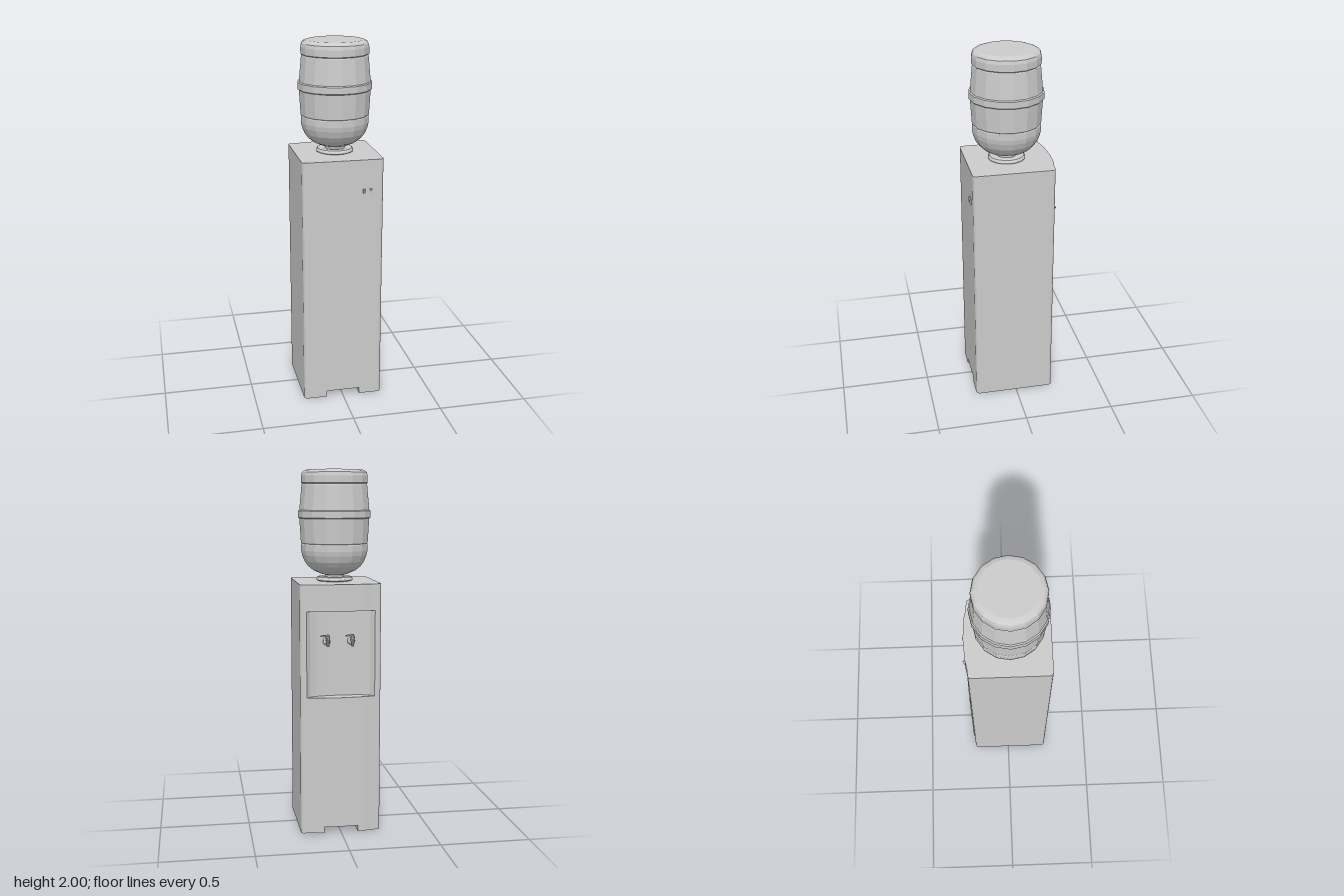
import * as THREE from 'three';

const material = new THREE.MeshStandardMaterial({ color: 0xcccccc, flatShading: true, side: THREE.DoubleSide });

function add(parent, name, geometry, x = 0, y = 0, z = 0) {
  const mesh = new THREE.Mesh(geometry, material);
  mesh.name = name;
  mesh.position.set(x, y, z);
  parent.add(mesh);
  return mesh;
}

// Half outlines seen from above as [x, -z], running from the rounded +z corner to the middle of the tap side
const corner = [[0.203, -0.235], [0.213, -0.232], [0.22, -0.225], [0.223, -0.215],
  [0.223, 0.197], [0.22, 0.206], [0.213, 0.212], [0.203, 0.214]];
const bulge = [[0.18, 0.215], [0.15, 0.22], [0.12, 0.227], [0.06, 0.231]];
const hollow = [[0.188, 0.2145], [0.165, 0.192], [0.13, 0.179], [0.07, 0.169]];

const mirrored = (half) => [...half, ...half.map(([x, b]) => [-x, b]).reverse()];

// Upright slab with the given outline between two heights
function slab(points, y0, y1) {
  const shape = new THREE.Shape(points.map(([x, b]) => new THREE.Vector2(x, b)));
  const geometry = new THREE.ExtrudeGeometry(shape, { depth: y1 - y0, bevelEnabled: false });
  return geometry.rotateX(-Math.PI / 2).translate(0, y0, 0);
}

function createCabinet() {
  const cabinet = new THREE.Group();
  cabinet.name = 'cabinet';
  const full = mirrored([...corner, ...bulge, [0, 0.235]]);
  const recessed = mirrored([...corner, ...hollow, [0, 0.166]]);
  add(cabinet, 'lowerCabinet', slab(full, 0.035, 0.772));
  add(cabinet, 'tapRecess', slab(recessed, 0.772, 1.245));
  add(cabinet, 'upperCabinet', slab(full, 1.245, 1.39));

  // Two runners leave a channel under the cabinet
  const runner = [[0.095, -0.235], ...corner, ...bulge.slice(0, 3), [0.095, 0.2285]];
  for (const s of [1, -1]) {
    add(cabinet, s > 0 ? 'leftRunner' : 'rightRunner', slab(runner.map(([x, b]) => [s * x, b]), 0, 0.035));
  }
  return cabinet;
}

function createBottle() {
  const bottle = new THREE.Group();
  bottle.name = 'bottle';
  const lathe = (points) => new THREE.LatheGeometry(points.map(([r, y]) => new THREE.Vector2(r, y)), 16);
  add(bottle, 'bottleBody', lathe([
    [0.055, 1.39], [0.055, 1.425], [0.075, 1.43], [0.12, 1.45], [0.148, 1.473], [0.168, 1.5], [0.182, 1.535],
    [0.187, 1.56], [0.187, 1.593], [0.184, 1.598], [0.188, 1.603], [0.196, 1.735],
    [0.203, 1.74], [0.203, 1.776], [0.196, 1.781], [0.183, 1.918], [0.18, 1.923], [0.186, 1.928],
    [0.186, 1.965], [0.181, 1.984], [0.17, 1.994], [0.152, 2], [0, 2],
  ]));
  add(bottle, 'collar', lathe([
    [0.09, 1.39], [0.103, 1.395], [0.103, 1.402], [0.096, 1.413], [0.08, 1.417], [0.055, 1.413],
  ]));
  bottle.position.z = 0.01;
  return bottle;
}

function createTap(x) {
  const tap = new THREE.Group();
  tap.name = 'tap';
  add(tap, 'mountingBall', new THREE.SphereGeometry(0.021, 12, 8), 0, 1.075, -0.172);
  const stem = new THREE.CylinderGeometry(0.008, 0.008, 0.05, 10).rotateX(Math.PI / 2);
  add(tap, 'stem', stem, 0, 1.085, -0.195);
  add(tap, 'spout', new THREE.CylinderGeometry(0.012, 0.008, 0.052, 10), 0, 1.079, -0.219);
  add(tap, 'cap', new THREE.CylinderGeometry(0.013, 0.013, 0.007, 10), 0, 1.108, -0.219);
  // Lever turned to one side
  const lever = add(tap, 'lever', new THREE.BoxGeometry(0.052, 0.007, 0.012), 0.018, 1.115, -0.23);
  lever.rotation.y = Math.PI / 6;
  tap.position.x = x;
  return tap;
}

function createSwitch(x) {
  const unit = new THREE.Group();
  unit.name = 'switch';
  add(unit, 'switchFrame', new THREE.BoxGeometry(0.016, 0.03, 0.006), 0, 0, 0.002);
  const rocker = add(unit, 'rocker', new THREE.BoxGeometry(0.011, 0.022, 0.006), 0, 0, 0.005);
  rocker.rotation.x = 0.15;
  unit.position.set(x, 1.214, 0.235);
  return unit;
}

export function createModel() {
  const model = new THREE.Group();
  model.name = 'waterDispenser';
  model.add(createCabinet(), createBottle());
  for (const x of [0.073, -0.063]) model.add(createTap(x));
  for (const x of [0.115, 0.15]) model.add(createSwitch(x));
  return model;
}
